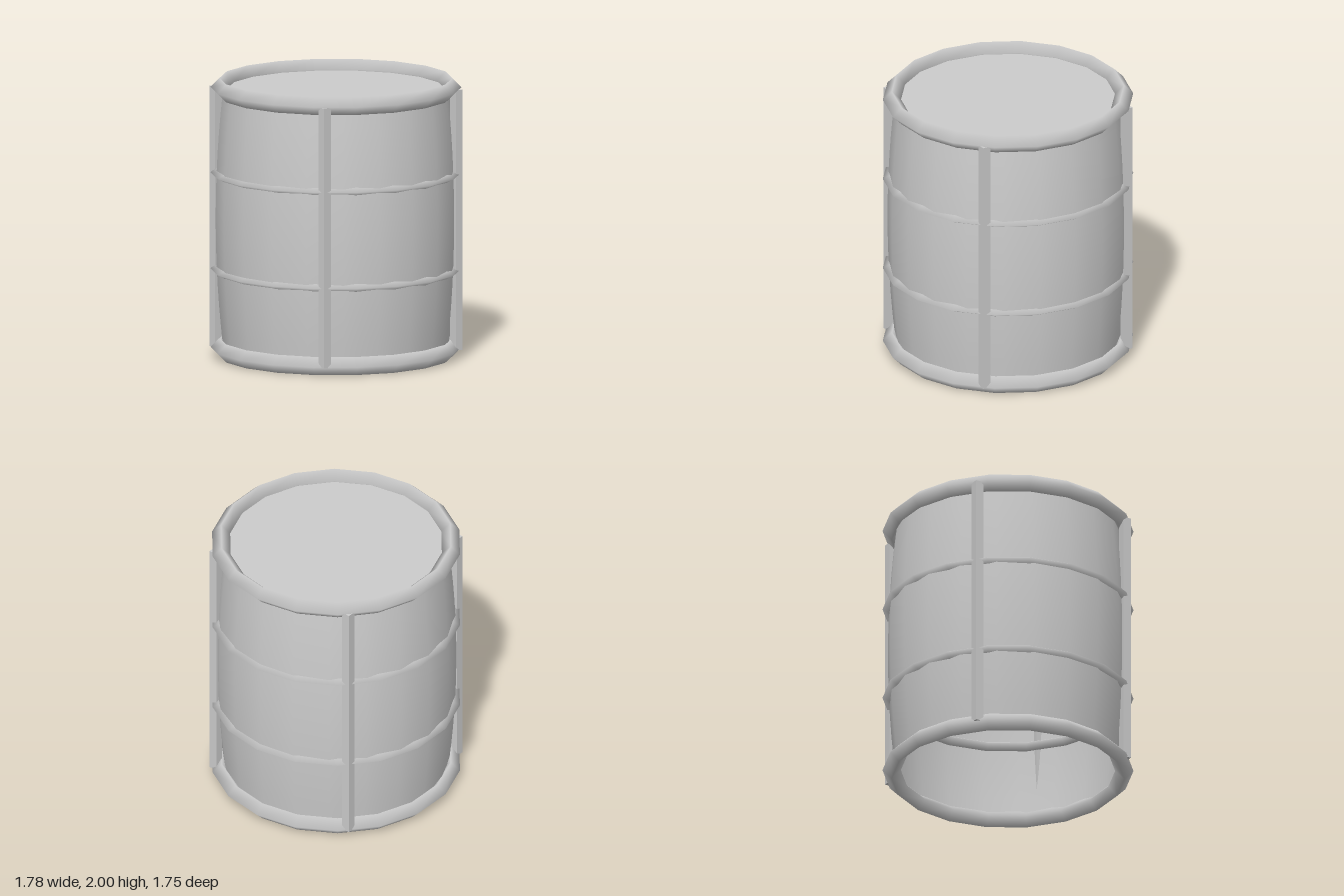
import * as THREE from 'three';

export function createModel() {
  const model = new THREE.Group();
  const metal = new THREE.MeshStandardMaterial({ color: 0xcccccc, side: THREE.DoubleSide });
  metal.name = 'light grey';

  const add = (name, geometry, x = 0, y = 0, z = 0) => {
    const mesh = new THREE.Mesh(geometry, metal);
    mesh.name = name;
    mesh.position.set(x, y, z);
    model.add(mesh);
    return mesh;
  };

  const bottom = 0.065, top = 1.935;

  // Bulging wall, open at the bottom
  const profile = [];
  const rows = 12;
  for (let i = 0; i <= rows; i++) {
    const t = (i / rows) * 2 - 1;
    profile.push(new THREE.Vector2(0.855 - 0.054 * t * t, THREE.MathUtils.lerp(bottom, top, i / rows)));
  }
  add('barrelWall', new THREE.LatheGeometry(profile, 20));

  // Flat lid set inside the top rim
  add('lid', new THREE.CircleGeometry(0.801, 20).rotateX(-Math.PI / 2), 0, 1.925, 0);

  // Thick rims at the ends and flattened hoops between them
  const ring = new THREE.TorusGeometry(0.825, 0.065, 4, 18).rotateX(Math.PI / 2);
  add('bottomRim', ring, 0, bottom, 0);
  add('topRim', ring, 0, top, 0);
  const hoop = ring.clone().scale(1, 0.54, 1);
  add('lowerHoop', hoop, 0, 0.63, 0);
  add('upperHoop', hoop, 0, 1.322, 0);

  // Four upright bars at the diagonals
  const bar = new THREE.BoxGeometry(0.062, 1.87, 0.062);
  for (const x of [-1, 1]) {
    for (const z of [-1, 1]) {
      add(`${z > 0 ? 'front' : 'back'}${x > 0 ? 'Left' : 'Right'}Bar`, bar, x * 0.606, 0.995, z * 0.606);
    }
  }

  return model;
}
